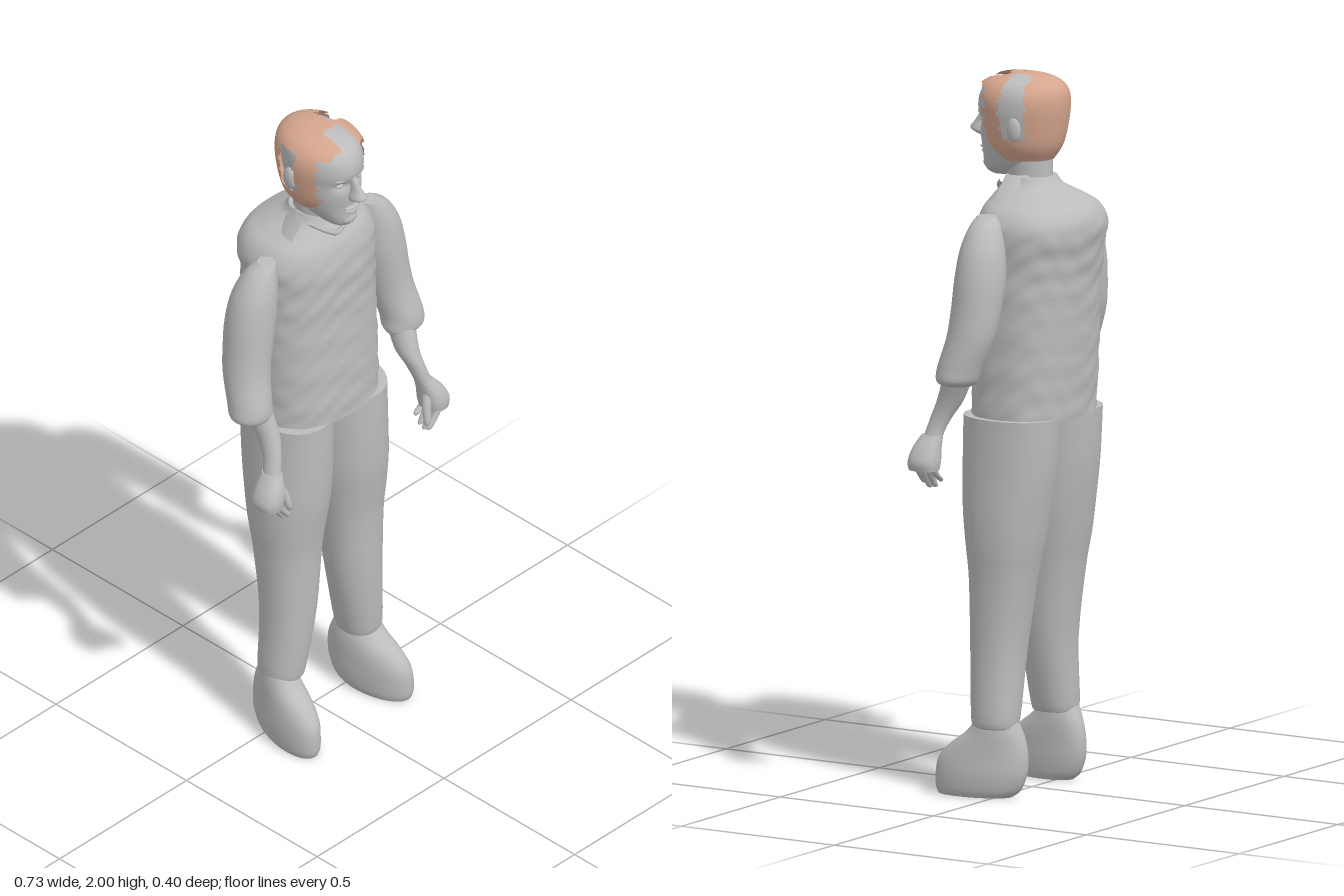
import * as THREE from 'three';

const grey = new THREE.MeshStandardMaterial({ color: 0xbcbcbc });
grey.name = 'plain grey';
const hairTone = new THREE.MeshStandardMaterial({ color: 0xd6a68e, side: THREE.DoubleSide });
hairTone.name = 'copper hair';
const greySheet = new THREE.MeshStandardMaterial({ color: 0xbcbcbc, side: THREE.DoubleSide });
greySheet.name = 'grey cloth edge';

// Catmull-Rom blend of whole rows
function rowAt(rows, t) {
  const n = rows.length - 1, f = t * n, i = Math.min(Math.floor(f), n - 1), u = f - i;
  const [a, b, c, d] = [i - 1, i, i + 1, i + 2].map((k) => rows[Math.max(0, Math.min(n, k))]);
  return b.map((_, k) => 0.5 * (2 * b[k] + (c[k] - a[k]) * u
    + (2 * a[k] - 5 * b[k] + 4 * c[k] - d[k]) * u * u
    + (3 * b[k] - a[k] - 3 * c[k] + d[k]) * u * u * u));
}

// Skin over rounded cross-sections, listed bottom to top as [y, x0, x1, z0, z1]
function loft(rows, { side = 1, power = 2, seg = 32, steps = 4, caps = true, bend, keep } = {}) {
  const pos = [], idx = [], n = (rows.length - 1) * steps, v = new THREE.Vector3();
  const curve = (c) => Math.sign(c) * Math.pow(Math.abs(c), 2 / power);
  for (let i = 0; i <= n; i++) {
    const [y, x0, x1, z0, z1] = rowAt(rows, i / n);
    for (let j = 0; j < seg; j++) {
      const a = (j / seg) * Math.PI * 2;
      v.set(side * (x0 + x1) / 2 + curve(Math.cos(a)) * (x1 - x0) / 2, y,
        (z0 + z1) / 2 + curve(Math.sin(a)) * (z1 - z0) / 2);
      if (bend) bend(v, a);
      pos.push(v.x, v.y, v.z);
    }
  }
  const mid = (a, b, k) => (pos[a * 3 + k] + pos[b * 3 + k]) / 2;
  for (let i = 0; i < n; i++) for (let j = 0; j < seg; j++) {
    const k = (j + 1) % seg, a = i * seg + j, b = i * seg + k, c = a + seg, d = b + seg;
    if (keep && !keep(mid(a, d, 0), mid(a, d, 1), mid(a, d, 2))) continue;
    idx.push(a, c, b, b, c, d);
  }
  // Flat end caps with their own corners, so the rims stay sharp
  if (caps) for (const top of [false, true]) {
    const from = (top ? n : 0) * seg, base = pos.length / 3, mean = [0, 0, 0];
    for (let j = 0; j < seg; j++) for (let k = 0; k < 3; k++) {
      const p = pos[(from + j) * 3 + k];
      pos.push(p);
      mean[k] += p / seg;
    }
    pos.push(...mean);
    for (let j = 0; j < seg; j++) {
      const p = base + j, q = base + (j + 1) % seg;
      idx.push(base + seg, top ? q : p, top ? p : q);
    }
  }
  const g = new THREE.BufferGeometry();
  g.setAttribute('position', new THREE.Float32BufferAttribute(pos, 3));
  g.setIndex(idx);
  g.computeVertexNormals();
  return g;
}

export function createModel() {
  const model = new THREE.Group();
  model.name = 'standingMan';
  const add = (name, geometry, material = grey) => {
    const m = new THREE.Mesh(geometry, material);
    m.name = name;
    model.add(m);
    return m;
  };
  const blob = (name, x, y, z, rx, ry, rz) => {
    const m = add(name, new THREE.SphereGeometry(1, 16, 10));
    m.position.set(x, y, z);
    m.scale.set(rx, ry, rz);
    return m;
  };

  // Knitted top with soft wrinkles
  add('torso', loft([
    [1.055, -0.185, 0.205, -0.16, 0.135], [1.2, -0.185, 0.205, -0.168, 0.132],
    [1.4, -0.185, 0.205, -0.178, 0.125], [1.5, -0.185, 0.205, -0.187, 0.125],
    [1.58, -0.19, 0.21, -0.198, 0.12], [1.63, -0.168, 0.186, -0.18, 0.108],
    [1.66, -0.125, 0.14, -0.14, 0.092], [1.69, -0.075, 0.088, -0.09, 0.075],
    [1.715, -0.06, 0.068, -0.07, 0.065],
  ], {
    power: 2.35, seg: 64, steps: 8,
    bend: (v, a) => {
      const fade = THREE.MathUtils.smoothstep(1.64 - v.y, 0, 0.1);
      const w = fade * 0.0028 * Math.sin(v.y * 75 + 3 * Math.sin(a * 3)) * Math.sin(a * 7 + v.y * 17);
      v.x += w * Math.cos(a);
      v.z += w * Math.sin(a);
    },
  }));

  // Collar behind the neck and V neckline
  const collar = add('backCollar',
    new THREE.CylinderGeometry(0.075, 0.125, 0.055, 24, 1, true, Math.PI / 2, Math.PI), greySheet);
  collar.position.set(0, 1.693, 0.038);
  const neckline = new THREE.CatmullRomCurve3([[-0.068, 1.705, 0.05], [-0.035, 1.68, 0.085],
    [0, 1.662, 0.093], [0.035, 1.68, 0.085], [0.075, 1.705, 0.05]].map((p) => new THREE.Vector3(...p)));
  add('neckline', new THREE.TubeGeometry(neckline, 20, 0.007, 6));
  add('neck', loft([[1.62, -0.06, 0.06, -0.065, 0.075], [1.7, -0.055, 0.055, -0.06, 0.07],
    [1.79, -0.058, 0.058, -0.06, 0.08]]));

  // Head with eye sockets pressed in
  add('head', loft([
    [1.708, -0.02, 0.02, 0.07, 0.125], [1.72, -0.04, 0.04, 0.03, 0.142],
    [1.745, -0.06, 0.06, -0.03, 0.148], [1.78, -0.076, 0.076, -0.055, 0.148],
    [1.82, -0.086, 0.086, -0.075, 0.153], [1.86, -0.091, 0.091, -0.088, 0.153],
    [1.9, -0.094, 0.094, -0.093, 0.16], [1.94, -0.088, 0.088, -0.09, 0.152],
    [1.97, -0.066, 0.066, -0.07, 0.125], [1.987, -0.02, 0.02, -0.01, 0.06],
  ], {
    power: 2.15, seg: 56, steps: 6,
    bend: (v) => {
      if (v.z < 0.06) return;
      const dx = (Math.abs(v.x) - 0.035) / 0.018, dy = (v.y - 1.862) / 0.013;
      v.z -= 0.012 * Math.exp(-dx * dx - dy * dy);
    },
  }));
  add('nose', loft([
    [1.81, -0.014, 0.014, 0.14, 0.17], [1.82, -0.021, 0.021, 0.14, 0.192],
    [1.829, -0.02, 0.02, 0.14, 0.199], [1.85, -0.012, 0.012, 0.14, 0.183],
    [1.885, -0.009, 0.009, 0.14, 0.16],
  ], { seg: 20 }));
  blob('upperLip', 0, 1.781, 0.146, 0.028, 0.006, 0.014);
  blob('lowerLip', 0, 1.769, 0.144, 0.024, 0.007, 0.014);
  blob('chin', 0, 1.737, 0.13, 0.03, 0.02, 0.022);
  for (const s of [1, -1]) {
    blob('eye', s * 0.035, 1.861, 0.134, 0.014, 0.0075, 0.009);
    blob('brow', s * 0.037, 1.884, 0.142, 0.022, 0.006, 0.009).rotation.y = s * 0.35;
    blob('ear', s * 0.094, 1.85, 0.0, 0.012, 0.035, 0.022);
  }

  // Hair shell, open over the face, forehead parting and ears
  add('hair', loft([
    [1.76, -0.075, 0.07, -0.06, 0.1], [1.8, -0.1, 0.096, -0.085, 0.13],
    [1.86, -0.113, 0.108, -0.1, 0.15], [1.92, -0.117, 0.113, -0.107, 0.163],
    [1.96, -0.102, 0.098, -0.1, 0.155], [1.985, -0.07, 0.068, -0.07, 0.12],
    [1.998, -0.025, 0.025, -0.02, 0.06], [2.0, -0.002, 0.002, 0.015, 0.025],
  ], {
    seg: 80, steps: 7, caps: false,
    keep: (x, y, z) => {
      const ragged = 0.006 * Math.sin(y * 160) + 0.006 * Math.sin(x * 170);
      if (y < 1.955 && z > 0.1 + ragged) return false;
      if (z > 0.128 + ragged) return false;
      if (Math.abs(x - 0.008) < 0.033 && z > 0.062 + ragged) return false;
      const sideOpening = Math.abs(x) > 0.07 && y > 1.82 && y < 1.955;
      if (sideOpening && z > -0.03 + ragged && z < 0.04 + ragged) return false;
      const crownOpening = x > 0.03 && y >= 1.95;
      return !(crownOpening && z > -0.03 + ragged + (0.07 - x) * 0.3 && z < 0.035);
    },
  }), hairTone);

  for (const s of [1, -1]) {
    // Sleeve with a rounded cuff
    add('sleeve', loft([
      [1.165, 0.24, 0.33, 0.015, 0.095], [1.18, 0.235, 0.36, -0.005, 0.108],
      [1.22, 0.235, 0.358, -0.02, 0.107], [1.3, 0.218, 0.346, -0.05, 0.087],
      [1.38, 0.2, 0.335, -0.062, 0.08], [1.46, 0.182, 0.325, -0.065, 0.077],
      [1.54, 0.175, 0.303, -0.055, 0.07], [1.6, 0.172, 0.265, -0.033, 0.056],
      [1.628, 0.178, 0.225, -0.012, 0.045],
    ], { side: s }));
    add('forearm', loft([
      [0.99, 0.282, 0.33, 0.105, 0.165], [1.03, 0.27, 0.316, 0.1, 0.155],
      [1.07, 0.258, 0.306, 0.082, 0.145], [1.12, 0.243, 0.305, 0.05, 0.128],
      [1.2, 0.245, 0.32, 0.01, 0.1],
    ], { side: s, seg: 20 }));

    // Hand: palm, four hanging fingers and a thumb
    add('palm', loft([
      [0.925, 0.29, 0.362, 0.1, 0.185], [0.95, 0.284, 0.366, 0.097, 0.187],
      [0.985, 0.28, 0.35, 0.1, 0.18], [1.02, 0.275, 0.322, 0.102, 0.163],
    ], { side: s, seg: 20, power: 2.4 }));
    for (let i = 0; i < 4; i++) {
      const z = 0.112 + i * 0.02, x = 0.335 - i * 0.004, low = [0.89, 0.872, 0.868, 0.878][i];
      add('finger', loft([
        [low, x - 0.052, x - 0.042, z - 0.004, z + 0.004],
        [low + 0.008, x - 0.052, x - 0.032, z - 0.009, z + 0.009],
        [0.915, x - 0.03, x - 0.008, z - 0.011, z + 0.011],
        [0.95, x - 0.012, x + 0.012, z - 0.012, z + 0.012],
      ], { side: s, seg: 10 }));
    }
    add('thumb', loft([
      [0.897, 0.263, 0.275, 0.166, 0.176], [0.91, 0.262, 0.283, 0.16, 0.182],
      [0.95, 0.267, 0.293, 0.148, 0.174], [0.985, 0.28, 0.31, 0.135, 0.165],
    ], { side: s, seg: 10 }));

    // Trouser leg, set slightly off centre like the torso
    const leg = add('trouserLeg', loft([
      [0.195, 0.1, 0.2, -0.042, 0.072], [0.215, 0.088, 0.213, -0.052, 0.082],
      [0.4, 0.052, 0.206, -0.058, 0.095], [0.6, 0.03, 0.212, -0.085, 0.102],
      [0.7, 0.016, 0.22, -0.105, 0.113], [0.8, 0.003, 0.222, -0.122, 0.125],
      [0.92, -0.002, 0.218, -0.14, 0.13], [1.06, -0.002, 0.214, -0.15, 0.13],
    ], { side: s, power: 2.2 }));
    leg.position.x = 0.01;

    // Shoe with a flat sole and toes turned out
    const shoe = add('shoe', loft([
      [0, 0.105, 0.205, -0.035, 0.178], [0.02, 0.098, 0.212, -0.06, 0.186],
      [0.06, 0.095, 0.215, -0.077, 0.186], [0.1, 0.095, 0.212, -0.081, 0.178],
      [0.14, 0.096, 0.208, -0.077, 0.145], [0.18, 0.1, 0.205, -0.064, 0.093],
      [0.23, 0.11, 0.2, -0.04, 0.055],
    ], {
      side: s, power: 2.1,
      bend: (v) => { v.x += s * (0.012 + 0.14 * (v.z - 0.06)); },
    }));
    shoe.position.x = 0.006;
  }
  return model;
}
